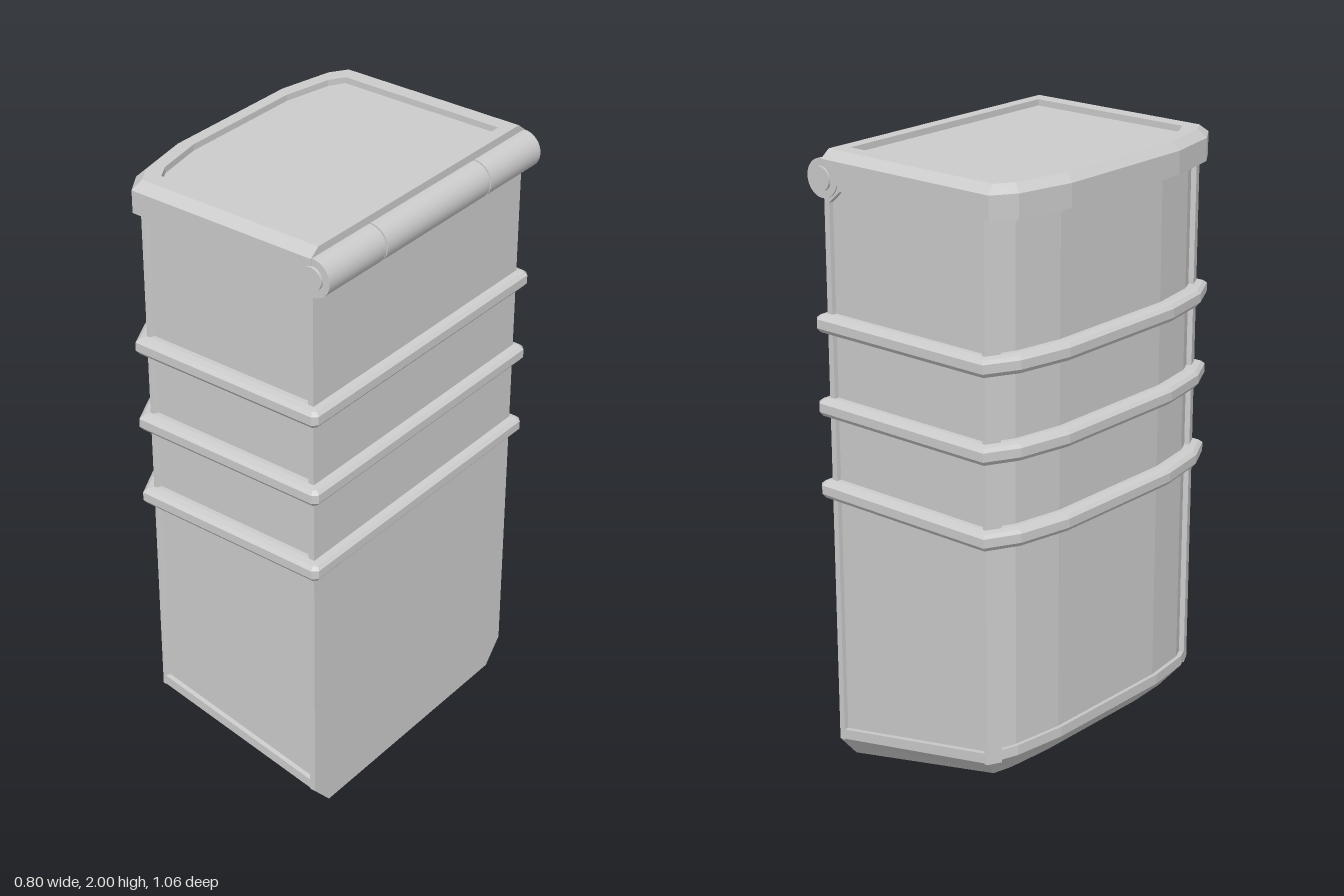
import * as THREE from 'three';

const mat = new THREE.MeshStandardMaterial({ color: 0xcccccc, flatShading: true });
const smooth = new THREE.MeshStandardMaterial({ color: 0xcccccc });

// Add the far-side half of a [x, z] half outline
const mirror = (half) => [...half, ...half.map(([x, z]) => [x, -z]).reverse()];

// Bin outline, grown by d; back corners are clipped when d > 0
function outline(d, back = d) {
  return mirror([
    [0.335 + back, 0.5 + d * 0.5], [0.335 + back * 0.5, 0.5 + d],
    [-0.29 - d * 0.6, 0.5 + d], [-0.335 - d * 0.9, 0.41 + d * 0.5], [-0.365 - d, 0.24 + d * 0.2],
  ]);
}

// Skin rings of [x, z] points, bottom to top; each level is a height or a function of x
function loft(levels) {
  const rings = levels.map(([pts, y]) =>
    pts.map(([x, z]) => [x, typeof y === 'function' ? y(x) : y, z]));
  const pos = [];
  const tri = (a, b, c) => pos.push(...a, ...b, ...c);
  const n = rings[0].length;
  for (let r = 0; r < rings.length - 1; r++) {
    const lo = rings[r], hi = rings[r + 1];
    for (let i = 0; i < n; i++) {
      const j = (i + 1) % n;
      tri(lo[i], hi[j], lo[j]);
      tri(lo[i], hi[i], hi[j]);
    }
  }
  const first = rings[0], last = rings[rings.length - 1];
  for (let i = 1; i < n - 1; i++) {
    tri(first[0], first[i], first[i + 1]);
    tri(last[0], last[i + 1], last[i]);
  }
  const g = new THREE.BufferGeometry();
  g.setAttribute('position', new THREE.Float32BufferAttribute(pos, 3));
  g.computeVertexNormals();
  return g;
}

export function createModel() {
  const model = new THREE.Group();
  model.name = 'bin';
  const add = (name, geometry, material = mat) => {
    const mesh = new THREE.Mesh(geometry, material);
    mesh.name = name;
    model.add(mesh);
    return mesh;
  };

  // Recessed wall panels
  const slope = (x) => 0.08 + 0.2 * (0.335 - x);
  add('bodyPanels', loft([[outline(-0.016, -0.01), slope], [outline(-0.016, -0.01), 1.9]]));

  // Sloping base with bevelled edges and a raised lower rim
  const foot = mirror([[0.335, 0.43], [0.335, 0.43], [-0.255, 0.43], [-0.275, 0.37], [-0.29, 0.22]]);
  add('base', loft([
    [foot, (x) => 0.224 * (0.335 - x)],
    [outline(0), slope],
    [outline(0), (x) => slope(x) + 0.033],
  ]));
  add('upperRim', loft([[outline(0), 1.885], [outline(0), 1.905]]));

  // Flat back plate
  const back = new THREE.BoxGeometry(0.02, 1.82, 1);
  back.translate(0.325, 0.99, 0);
  add('backPlate', back);

  // Corner posts and hinge gussets, mirrored
  const post = loft([0.2, 1.895].map((y) =>
    [[[-0.28, 0.5], [-0.29, 0.5], [-0.312, 0.456], [-0.29, 0.44], [-0.27, 0.48]], y]));
  const gussetShape = new THREE.Shape();
  gussetShape.moveTo(0.32, 1.84);
  gussetShape.lineTo(0.32, 1.89);
  gussetShape.lineTo(0.265, 1.89);
  const gusset = new THREE.ExtrudeGeometry(gussetShape, { depth: 0.02, bevelEnabled: false });
  gusset.translate(0, 0, 0.48);
  for (const side of [1, -1]) {
    const name = side > 0 ? 'left' : 'right';
    add(name + 'CornerPost', post).scale.z = side;
    add(name + 'HingeGusset', gusset).scale.z = side;
  }

  // Three bevelled bands
  const bandProfile = [[0, -0.028], [0.02, -0.028], [0.031, -0.014], [0.031, 0.014], [0.02, 0.024], [0, 0.028]];
  for (const y of [0.94, 1.207, 1.473]) {
    add('band', loft(bandProfile.map(([d, h]) => [outline(d), y + h])));
  }

  // Lid with bevelled edge and sunken top
  const lidOuter = mirror([[0.335, 0.508], [-0.315, 0.508], [-0.363, 0.435], [-0.4, 0.25]]);
  const lidTop = mirror([[0.335, 0.476], [-0.302, 0.476], [-0.338, 0.42], [-0.375, 0.24]]);
  const lidInner = mirror([[0.295, 0.425], [-0.275, 0.425], [-0.304, 0.376], [-0.336, 0.215]]);
  add('lid', loft([[lidOuter, 1.903], [lidOuter, 1.975], [lidTop, 2], [lidInner, 2], [lidInner, 1.98]]));

  // Hinge knuckles and pin
  const rod = (name, radius, z0, z1) => {
    const g = new THREE.CylinderGeometry(radius, radius, z1 - z0, 32);
    g.rotateX(Math.PI / 2);
    g.translate(0.337, 1.916, (z0 + z1) / 2);
    add(name, g, smooth);
  };
  for (const [z0, z1] of [[-0.505, -0.251], [-0.245, 0.245], [0.251, 0.505]]) rod('hingeKnuckle', 0.06, z0, z1);
  rod('hingePin', 0.037, -0.514, 0.514);

  return model;
}
